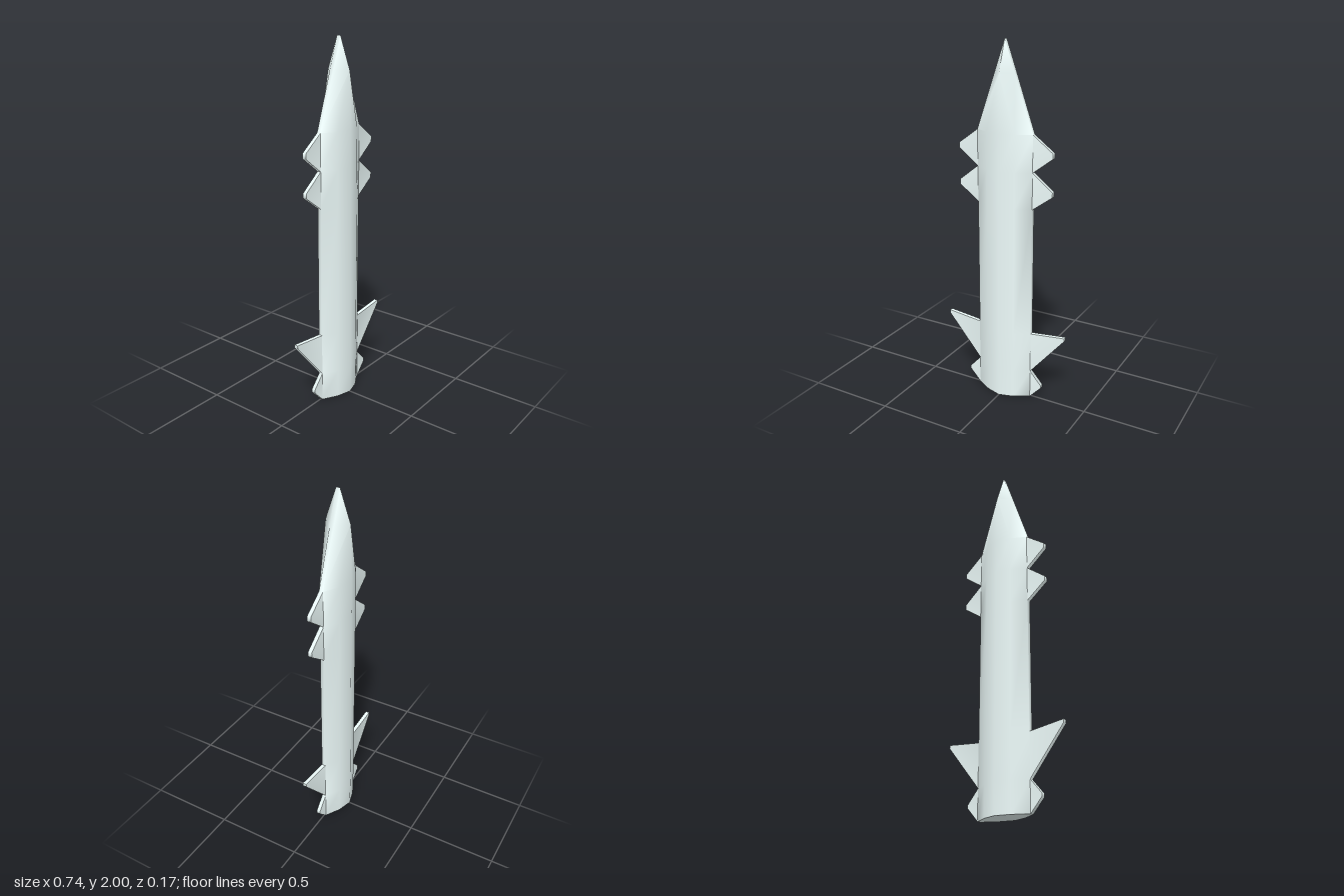
import * as THREE from 'three';
import { mergeGeometries, toCreasedNormals } from 'three/addons/utils/BufferGeometryUtils.js';

const EDGE = 0.011; // half thickness of the blade edge and fins
const HALF = 0.165; // half width of the blade

// Blade lofted through ten-sided sections: [y, edgeX, facetX, facetZ, ridgeZ]
function bladeGeometry() {
  const rows = [
    [0, HALF, 0.083, 0.058, 0.082],
    [0.165, HALF, 0.083, 0.06, 0.086],
    [0.402, HALF, 0.083, 0.06, 0.083],
    [1.13, HALF, 0.083, 0.058, 0.079],
    [1.33, HALF, 0.083, 0.058, 0.078],
    [1.53, HALF, 0.083, 0.057, 0.077],
    [1.83, 0.06, 0, 0.07, 0.07],
    [2, 0, 0, EDGE, EDGE],
  ];
  const rings = rows.map(([y, ex, fx, fz, rz]) => {
    const front = [[ex, EDGE], [fx, fz], [0, rz], [-fx, fz], [-ex, EDGE]];
    const back = front.map(([x, z]) => [-x, -z]);
    return [...front, ...back].map(([x, z]) => [x, y, z]);
  });
  const pos = [];
  // skips the triangles that collapse where facets meet
  const tri = (a, b, c) => {
    const same = (p, q) => p.every((v, k) => Math.abs(v - q[k]) < 1e-6);
    if (!same(a, b) && !same(b, c) && !same(c, a)) pos.push(...a, ...b, ...c);
  };
  for (let i = 0; i < rings.length - 1; i++) {
    for (let j = 0; j < 10; j++) {
      const k = (j + 1) % 10;
      const [lo, hi] = [rings[i], rings[i + 1]];
      tri(lo[k], lo[j], hi[j]);
      tri(lo[k], hi[j], hi[k]);
    }
  }
  // flat base
  for (let j = 0; j < 10; j++) tri([0, 0, 0], rings[0][j], rings[0][(j + 1) % 10]);
  const geo = new THREE.BufferGeometry();
  geo.setAttribute('position', new THREE.Float32BufferAttribute(pos, 3));
  return geo;
}

// Flat fin outline, rooted slightly inside the blade
function finGeometry(points, side) {
  const inner = HALF - 0.015;
  const outline = [[inner, points[0][1]], ...points, [inner, points.at(-1)[1]]];
  const shape = new THREE.Shape(outline.map(([x, y]) => new THREE.Vector2(x * side, y)));
  const geo = new THREE.ExtrudeGeometry(shape, { depth: EDGE * 2, bevelEnabled: false });
  geo.deleteAttribute('uv');
  geo.deleteAttribute('normal');
  return geo.translate(0, 0, -EDGE);
}

// Smooths normals across all parts together, so fins blend into the blade
function shareNormals(geometries) {
  const normals = toCreasedNormals(mergeGeometries(geometries), 1.51).attributes.normal.array;
  let start = 0;
  for (const geo of geometries) {
    const end = start + geo.attributes.position.array.length;
    geo.setAttribute('normal', new THREE.BufferAttribute(normals.slice(start, end), 3));
    start = end;
  }
}

export function createModel() {
  const parts = { blade: bladeGeometry() };
  const fins = {
    BaseBarb: [[HALF, 0], [0.232, 0.072], [0.232, 0.09], [HALF, 0.165]],
    Guard: [[HALF, 0.165], [0.37, 0.407], [0.37, 0.425], [HALF, 0.402]],
    LowerBarb: [[HALF, 1.13], [0.28, 1.213], [0.28, 1.24], [HALF, 1.33]],
    UpperBarb: [[HALF, 1.33], [0.28, 1.417], [0.28, 1.445], [HALF, 1.53]],
  };
  for (const [name, points] of Object.entries(fins)) {
    parts['left' + name] = finGeometry(points, 1);
    parts['right' + name] = finGeometry(points, -1);
  }
  shareNormals(Object.values(parts));

  // pale icy steel
  const material = new THREE.MeshStandardMaterial({ color: 0xeefcfb });
  const group = new THREE.Group();
  group.name = 'barbedBlade';
  for (const [name, geo] of Object.entries(parts)) {
    const mesh = new THREE.Mesh(geo, material);
    mesh.name = name;
    group.add(mesh);
  }
  return group;
}
